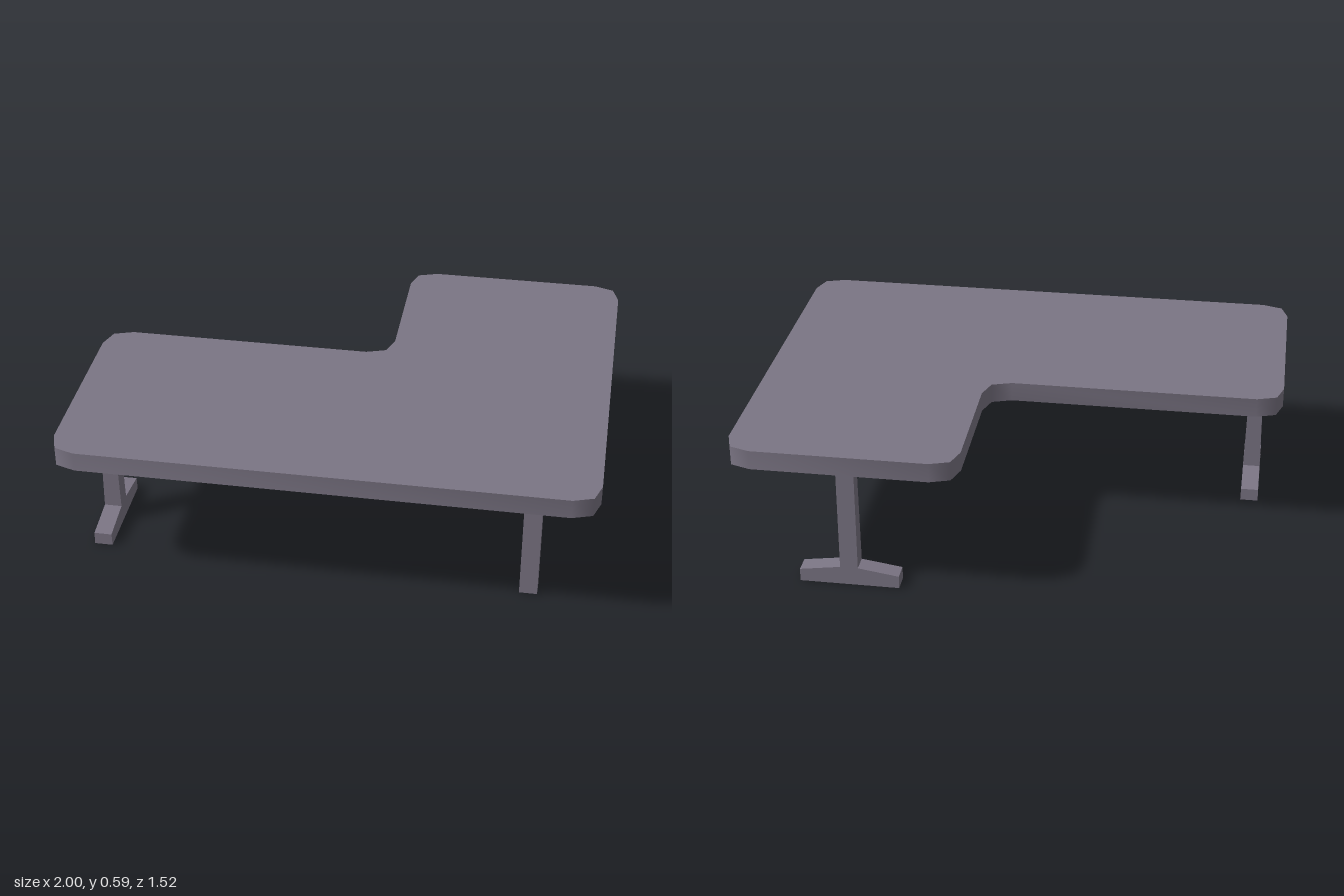
import * as THREE from 'three';
import { toCreasedNormals } from 'three/addons/utils/BufferGeometryUtils.js';

const TOP_Y = 0.59, THICKNESS = 0.075, LEG_H = TOP_Y - THICKNESS;

const toShape = (points) => new THREE.Shape(points.map(([a, b]) => new THREE.Vector2(a, b)));

// Chamfered corner of the outline: sx, sz point from the corner along its two edges.
// swap reverses the order in which the edges are met.
function corner(x, z, sx, sz, swap) {
  const pts = [[x + sx * 0.1, z], [x + sx * 0.025, z + sz * 0.025], [x, z + sz * 0.1]];
  return swap ? pts.reverse() : pts;
}

// Leg extruded from its side profile, narrowing in depth towards the top.
function legGeometry(profile) {
  const depth = 0.07;
  const geo = new THREE.ExtrudeGeometry(toShape(profile), { depth, bevelEnabled: false });
  geo.translate(0, 0, -depth / 2);
  const p = geo.attributes.position;
  for (let i = 0; i < p.count; i++) {
    p.setZ(i, p.getZ(i) * (1 - 0.26 * p.getY(i) / LEG_H));
  }
  geo.computeVertexNormals();
  return geo;
}

export function createModel() {
  const group = new THREE.Group();
  const grey = new THREE.MeshStandardMaterial({ color: 0x7b7584 });
  grey.name = 'warm grey';

  function add(name, geo, x, y, z, turn = 0) {
    const mesh = new THREE.Mesh(geo, grey);
    mesh.name = name;
    mesh.position.set(x, y, z);
    mesh.rotation.y = turn;
    group.add(mesh);
  }

  // L-shaped tabletop, outline given in x and z
  const outline = [
    ...corner(-1, 0.76, 1, -1, true),
    ...corner(1, 0.76, -1, -1, false),
    ...corner(1, -0.765, -1, 1, true),
    ...corner(0.14, -0.765, 1, 1, false),
    ...corner(0.14, -0.1, -1, -1, true),
    ...corner(-1, -0.1, 1, 1, false),
  ];
  const top = new THREE.ExtrudeGeometry(toShape(outline), { depth: THICKNESS, bevelEnabled: false });
  top.rotateX(Math.PI / 2);
  add('tabletop', toCreasedNormals(top, 1.0), 0, TOP_Y, 0);

  // Two legs with a sloping foot on both sides of the post
  const h = 0.034;
  const footed = legGeometry([
    [-0.19, 0], [0.19, 0], [0.19, 0.05], [h, 0.073],
    [h, LEG_H], [-h, LEG_H], [-h, 0.073], [-0.19, 0.05],
  ]);
  add('backLeg', footed, 0.57, 0, -0.655);
  add('rightLeg', footed, -0.895, 0, 0.335, Math.PI / 2);

  // Plain post under the front corner
  const post = legGeometry([[-h, 0], [h, 0], [h, LEG_H], [-h, LEG_H]]);
  add('cornerLeg', post, 0.76, 0, 0.528);

  return group;
}
